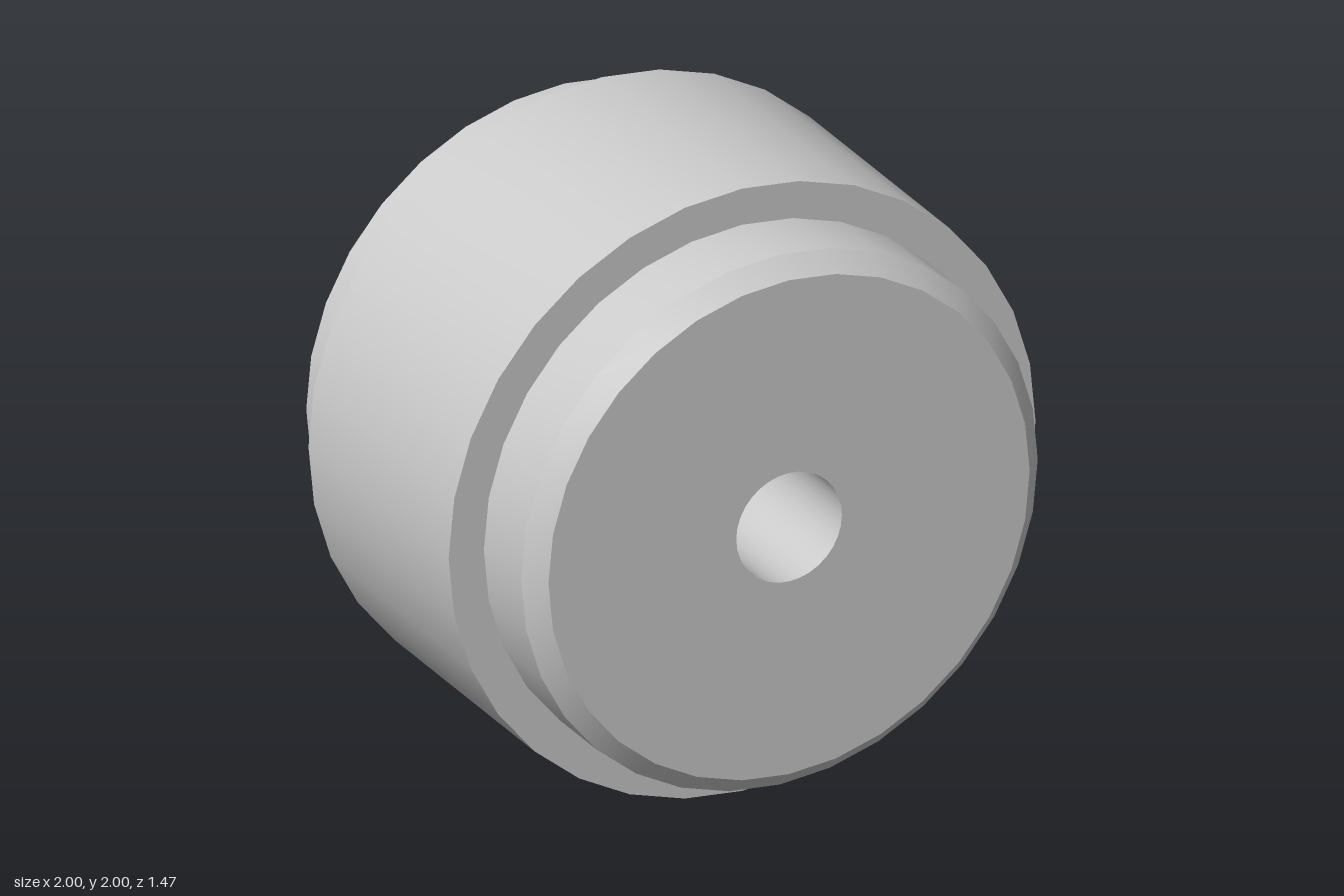
import * as THREE from 'three';
import { toCreasedNormals } from 'three/addons/utils/BufferGeometryUtils.js';

const SIDES = 32;
const BORE = 0.18, HUB = 0.88, RIM = 1;
const HALF_LENGTH = 0.735, HALF_RIM = 0.44, CHAMFER = 0.06;

export function createModel() {
  const group = new THREE.Group();
  group.name = 'steppedRoller';

  // Half of the section, from the bore out to the rim: [radius, distance from the middle]
  const half = [
    [BORE, HALF_LENGTH],
    [HUB - CHAMFER, HALF_LENGTH],
    [HUB, HALF_LENGTH - CHAMFER],
    [HUB, HALF_RIM],
    [RIM, HALF_RIM],
  ];

  // Mirror it and close the loop along the bore
  const profile = [
    ...half.map(([r, d]) => new THREE.Vector2(r, -d)),
    ...half.slice().reverse().map(([r, d]) => new THREE.Vector2(r, d)),
    new THREE.Vector2(BORE, -HALF_LENGTH),
  ];

  // Turned body with its axis along z, smooth around and sharp at the steps
  const geometry = toCreasedNormals(new THREE.LatheGeometry(profile, SIDES), 0.6);
  geometry.rotateX(Math.PI / 2);
  const body = new THREE.Mesh(geometry, new THREE.MeshStandardMaterial({ color: 0xcccccc }));
  body.name = 'rollerBody';
  body.position.y = RIM;
  group.add(body);

  return group;
}
